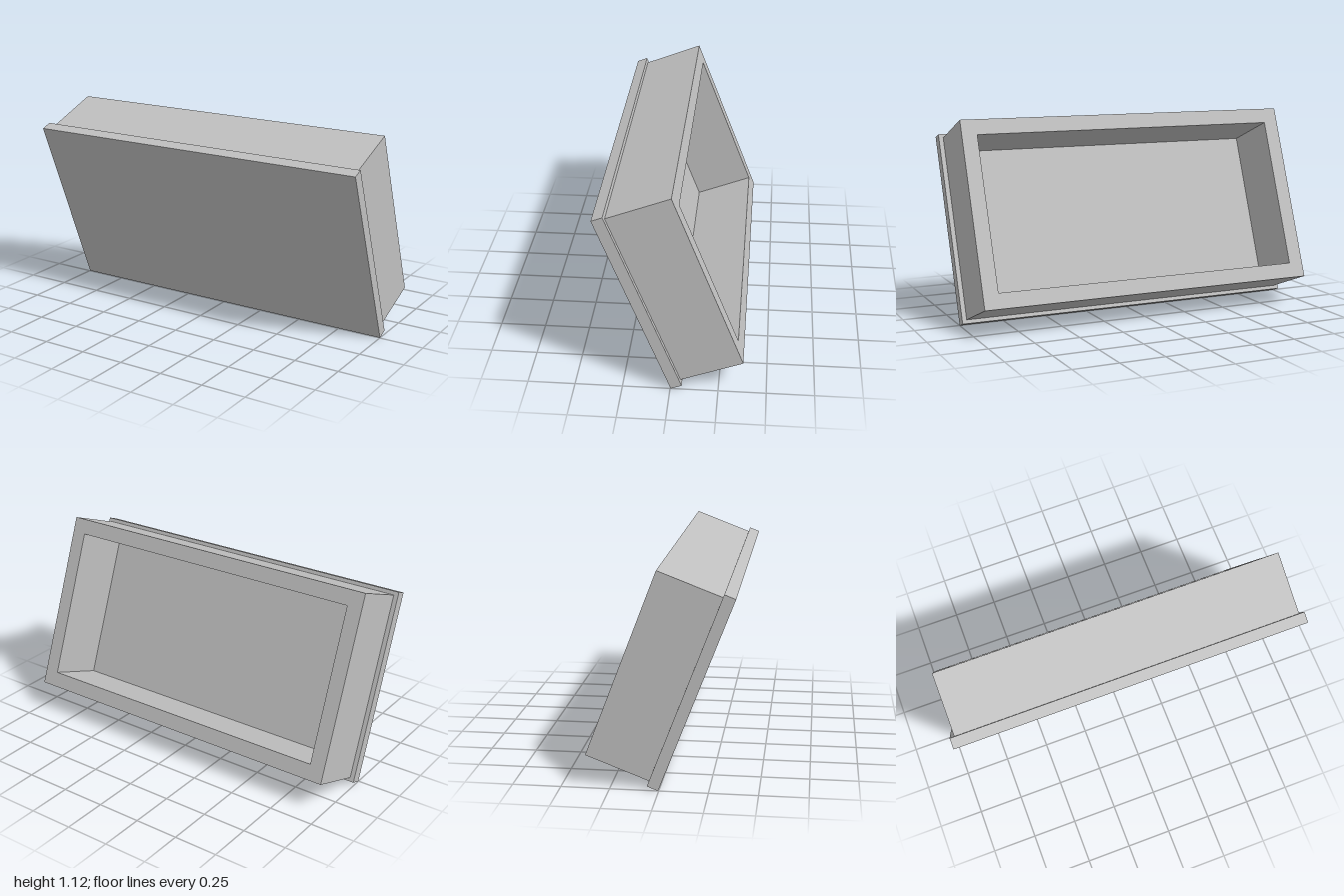
import * as THREE from 'three';

const TILT = 0.366;
const PANEL = { w: 2, h: 1.064, d: 0.061 };
const FRAME = { w: 1.95, h: 1.022, d: 0.347, wall: 0.085 };

// Traces a centred rectangle onto a Shape or Path
function rect(path, w, h) {
  path.moveTo(-w / 2, -h / 2);
  path.lineTo(w / 2, -h / 2);
  path.lineTo(w / 2, h / 2);
  path.lineTo(-w / 2, h / 2);
  path.closePath();
  return path;
}

export function createModel() {
  const model = new THREE.Group();
  const grey = new THREE.MeshStandardMaterial({ color: 0xc0c0c0 });
  grey.name = 'lightGrey';

  // Everything leans forward together; local z = 0 is the panel's front face
  const box = new THREE.Group();
  box.name = 'tiltedBox';
  box.rotation.x = TILT;
  box.position.set(0, (PANEL.h / 2) * Math.cos(TILT), 0.187);
  model.add(box);

  // Front panel, slightly larger than the frame behind it
  const panel = new THREE.Mesh(new THREE.BoxGeometry(PANEL.w, PANEL.h, PANEL.d), grey);
  panel.name = 'frontPanel';
  panel.position.z = -PANEL.d / 2;
  box.add(panel);

  // Deep rectangular frame, open at the back
  const shape = rect(new THREE.Shape(), FRAME.w, FRAME.h);
  shape.holes.push(rect(new THREE.Path(), FRAME.w - 2 * FRAME.wall, FRAME.h - 2 * FRAME.wall));
  const frame = new THREE.Mesh(
    new THREE.ExtrudeGeometry(shape, { depth: FRAME.d, bevelEnabled: false }), grey);
  frame.name = 'rearFrame';
  frame.position.z = -PANEL.d - FRAME.d;
  box.add(frame);

  return model;
}
